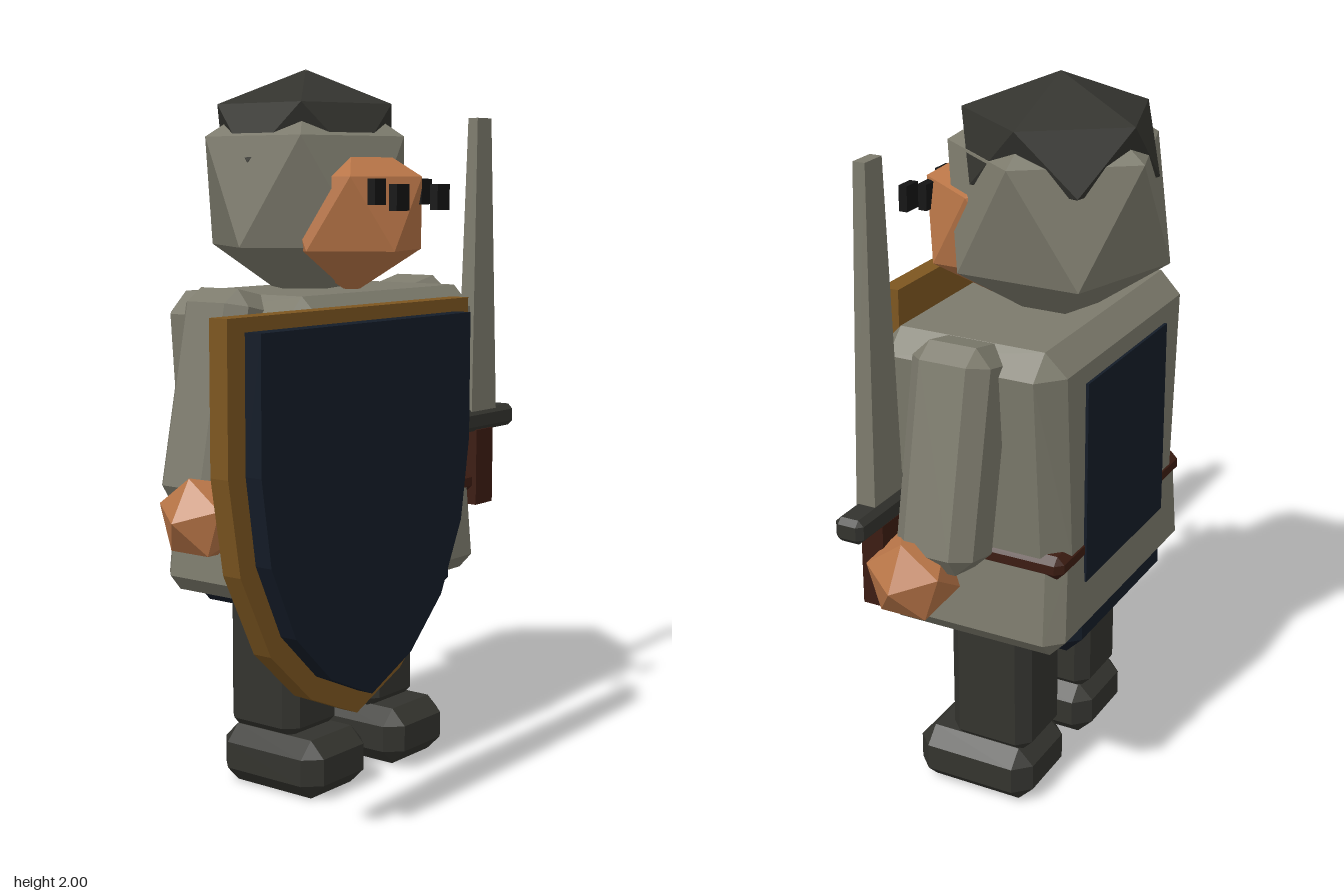
import * as THREE from 'three';
import { ConvexGeometry } from 'three/addons/geometries/ConvexGeometry.js';

const mat = (color) => new THREE.MeshStandardMaterial({ color, flatShading: true });
const MAIL = mat(0x7c7a6c), DARK = mat(0x33332e), NAVY = mat(0x141c28), BROWN = mat(0x3c1c12);
const WOOD = mat(0x7d5620), SKIN = mat(0xb87547), BLACK = mat(0x141414);
const CX = 0.095, CZ = -0.065; // body axis

export function createModel() {
  const model = new THREE.Group();
  model.name = 'knight';

  const add = (name, geometry, material, x, y, z) => {
    const mesh = new THREE.Mesh(geometry, material);
    mesh.name = name;
    mesh.position.set(x, y, z);
    model.add(mesh);
    return mesh;
  };

  // Box with chamfered edges; taper scales the top in x and z
  const chamferBox = (w, h, d, c, taperX = 1, taperZ = 1) => {
    const points = [];
    for (const sx of [-1, 1]) for (const sy of [-1, 1]) for (const sz of [-1, 1]) {
      for (const full of [0, 1, 2]) {
        const p = new THREE.Vector3(
          sx * (w / 2 - (full === 0 ? 0 : c)),
          sy * (h / 2 - (full === 1 ? 0 : c)),
          sz * (d / 2 - (full === 2 ? 0 : c)));
        const t = p.y / h + 0.5;
        p.x *= 1 + (taperX - 1) * t;
        p.z *= 1 + (taperZ - 1) * t;
        points.push(p);
      }
    }
    return new ConvexGeometry(points);
  };

  // Icosahedron standing on a corner
  const uprightIco = (r, ry) => {
    const g = new THREE.IcosahedronGeometry(r, 0);
    g.rotateZ(-Math.atan(2 / (1 + Math.sqrt(5))));
    return g.scale(1, ry / r, 1);
  };

  // Torso and clothing
  add('chest', chamferBox(0.74, 0.63, 0.53, 0.06, 1.14), MAIL, CX, 1.075, CZ);
  add('mailSkirt', chamferBox(0.82, 0.30, 0.545, 0.045, 0.92, 0.97), MAIL, CX, 0.7, CZ);
  add('belt', chamferBox(0.77, 0.065, 0.536, 0.02), BROWN, CX, 0.812, CZ);
  add('tabard', new THREE.BoxGeometry(0.49, 0.56, 0.546), NAVY, CX, 1.0, CZ);
  add('underskirt', chamferBox(0.59, 0.22, 0.53, 0.045), NAVY, CX, 0.61, CZ);

  // Limbs, mirrored about the body axis
  for (const [side, s] of [['left', 1], ['right', -1]]) {
    add(side + 'Leg', chamferBox(0.225, 0.46, 0.245, 0.035), DARK, CX + s * 0.185, 0.38, CZ);
    add(side + 'Boot', chamferBox(0.27, 0.165, 0.355, 0.045), DARK, CX + s * 0.19, 0.0825, -0.022);
    const arm = add(side + 'Arm', chamferBox(0.19, 0.58, 0.22, 0.045), MAIL, CX + s * 0.458, 1.115, CZ);
    arm.rotation.z = s * 0.21;
    const hand = add(side + 'Hand', new THREE.IcosahedronGeometry(0.122, 0), SKIN, CX + s * 0.575, 0.82, -0.012);
    hand.rotation.z = s * -1.017;
  }

  // Head
  add('hood', uprightIco(0.325, 0.338), MAIL, CX, 1.66, -0.13);
  add('cap', uprightIco(0.285, 0.18), DARK, 0.1, 1.82, -0.135);
  add('face', uprightIco(0.228, 0.225), SKIN, 0.1, 1.6, 0.03);
  for (const s of [-1, 1]) {
    add('eye', new THREE.BoxGeometry(0.05, 0.07, 0.025), BLACK, CX + s * 0.108, 1.66, 0.2);
    add('eyeFront', new THREE.BoxGeometry(0.058, 0.07, 0.025), BLACK, CX + s * 0.095, 1.645, 0.265);
  }

  // Shield: one half outline, mirrored, for the rim and for the raised field
  const shieldPlate = (half, depth) => {
    const mirrored = half.slice(0, -1).reverse().map(([x, y]) => [-x, y]);
    const outline = [...half, ...mirrored].map(([x, y]) => new THREE.Vector2(x, y));
    return new THREE.ExtrudeGeometry(new THREE.Shape(outline), { depth, bevelEnabled: false });
  };
  add('shieldRim', shieldPlate([[-0.497, 1.375], [-0.497, 1.0], [-0.455, 0.76],
    [-0.345, 0.545], [-0.19, 0.405], [0, 0.325]], 0.055), WOOD, -0.312, 0, 0.31);
  add('shieldField', shieldPlate([[-0.435, 1.34], [-0.435, 1.0], [-0.4, 0.78],
    [-0.308, 0.59], [-0.17, 0.46], [0, 0.385]], 0.05), NAVY, -0.312, 0, 0.364);

  // Sword
  const blade = new THREE.BoxGeometry(0.135, 0.9, 0.055);
  const pos = blade.attributes.position;
  for (let i = 0; i < pos.count; i++) {
    if (pos.getY(i) > 0) pos.setXYZ(i, pos.getX(i) * 0.55, pos.getY(i), pos.getZ(i) * 0.6);
  }
  blade.computeVertexNormals();
  add('swordBlade', blade, MAIL, 0.64, 1.425, 0.098);
  add('swordGuard', chamferBox(0.315, 0.066, 0.08, 0.015), DARK, 0.643, 0.972, 0.095);
  add('swordGrip', new THREE.BoxGeometry(0.09, 0.23, 0.064), BROWN, 0.64, 0.828, 0.097);

  return model;
}
